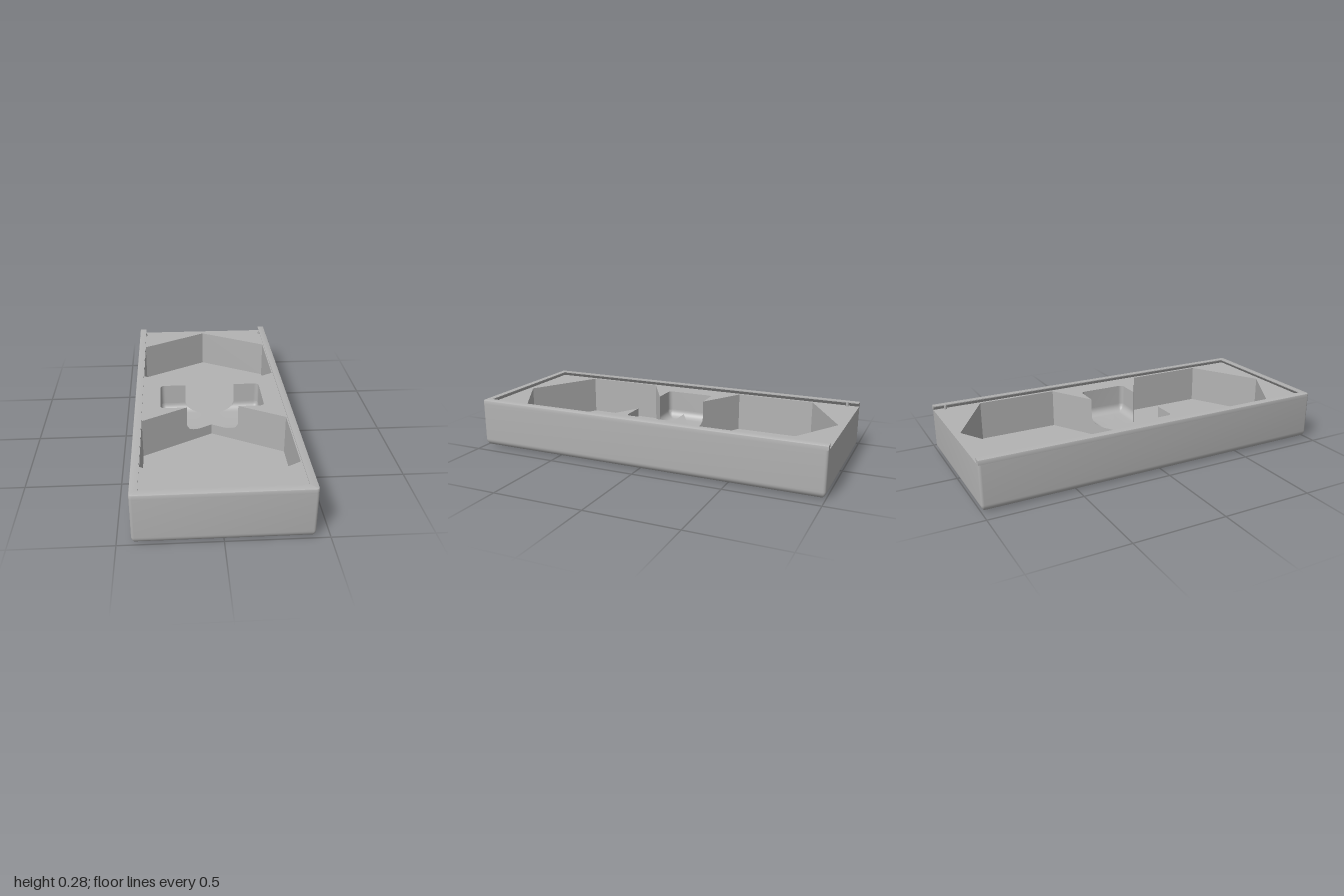
import * as THREE from 'three';
import { toCreasedNormals } from 'three/addons/utils/BufferGeometryUtils.js';

const HX = 0.43, HZ = 1, CORNER = 0.015;          // outer half sizes and vertical edge radius
const TOP = 0.275, DECK = 0.25, FLOOR = 0.03;     // heights of rim, deck and hexagon floors
const HEX_R = 0.45, HEX_Z = 0.507, SLOPE = Math.tan(Math.PI / 6);
const HEX_W = HEX_R * Math.cos(Math.PI / 6), APEX = HEX_Z - HEX_R;
const PX = 0.29, PZ = 0.14, PC = 0.025, PR = 0.045, PFLOOR = 0.09; // finger pocket
const CZ = -0.004;                                // cavities sit slightly to the back

// Surface through rows of points, sharp edges kept
function loft(rows, crease = 0.6) {
  const n = rows[0].length, index = [];
  for (let i = 0; i < rows.length - 1; i++) {
    for (let j = 0; j < n - 1; j++) {
      const a = i * n + j, b = a + 1, c = a + n + 1, d = a + n;
      index.push(a, b, c, a, c, d);
    }
  }
  const geo = new THREE.BufferGeometry();
  geo.setAttribute('position', new THREE.Float32BufferAttribute(rows.flat(2), 3));
  geo.setIndex(index);
  geo.scale(100, 100, 100);
  return toCreasedNormals(geo, crease).scale(0.01, 0.01, 0.01);
}

// Arc of a rounded corner, drawn inset from the outer wall
function cornerArc(sx, sz, start, inset) {
  const r = Math.max(CORNER - inset, 0), pts = [];
  for (let k = 0; k <= 4; k++) {
    const a = start + k * Math.PI / 8;
    pts.push([sx * (HX - inset - r) + r * Math.cos(a), sz * (HZ - inset - r) - r * Math.sin(a)]);
  }
  return pts;
}

// Half depth of the finger pocket at x, before and after the hexagons cut it
const hexEdge = x => APEX + SLOPE * x;
function pocketHalf(x) {
  const t = Math.max(0, x - (PX - PC));
  return PZ - PC + Math.sqrt(Math.max(0, PC * PC - t * t));
}

// Pocket floor height, filleted into its walls
function pocketHeight(x, z) {
  const qx = x - PX + PC, qz = Math.abs(z) - PZ + PC;
  const d = PC - Math.hypot(Math.max(qx, 0), Math.max(qz, 0)) - Math.min(Math.max(qx, qz), 0);
  const t = PR - Math.min(Math.max(d, 0), PR);
  return PFLOOR + PR - Math.sqrt(PR * PR - t * t);
}

export function createModel() {
  const model = new THREE.Group();
  const gray = new THREE.MeshStandardMaterial({ color: 0xb3b3b3, side: THREE.DoubleSide });
  gray.name = 'plain gray';
  function add(name, geo, parent = model) {
    const mesh = new THREE.Mesh(geo, gray);
    mesh.name = name;
    parent.add(mesh);
    return mesh;
  }

  // Outer body with a rounded bottom edge
  const R = 0.04, body = [];
  const ring = (inset, y) => {
    const p = [
      ...cornerArc(1, 1, -Math.PI / 2, inset), ...cornerArc(1, -1, 0, inset),
      ...cornerArc(-1, -1, Math.PI / 2, inset), ...cornerArc(-1, 1, Math.PI, inset)];
    return [...p, p[0]].map(([x, z]) => [x, y, z]);
  };
  for (let k = 0; k <= 8; k++) {
    const a = k * Math.PI / 16;
    body.push(ring(R * (1 - Math.sin(a)), R * (1 - Math.cos(a))));
  }
  body.push(ring(0, DECK));
  add('outerBody', loft(body));
  add('underside', new THREE.PlaneGeometry(2 * (HX - R), 2 * (HZ - R)).rotateX(Math.PI / 2));

  // Undercut rim on three sides, open at the back for a sliding lid
  const profile = [[0, DECK], [0, 0.27], [0.0015, 0.2735], [0.005, TOP], [0.04, TOP], [0.04, 0.27], [0.023, DECK]];
  add('lidRim', loft(profile.map(([inset, y]) => [
    [-HX + inset, -HZ], ...cornerArc(-1, 1, Math.PI, inset),
    ...cornerArc(1, 1, -Math.PI / 2, inset), [HX - inset, -HZ],
  ].map(([x, z]) => [x, y, z]))));
  for (const s of [1, -1]) {
    const cap = new THREE.Shape(profile.map(([i, y]) => new THREE.Vector2(s * (HX - i), y)));
    add('rimEnd', new THREE.ShapeGeometry(cap).rotateY(Math.PI).scale(-1, 1, 1)).position.z = -HZ;
    const bump = add('lidCatch', new THREE.CylinderGeometry(0.008, 0.008, 0.023, 16));
    bump.position.set(s * 0.392, DECK + 0.0115, -0.935);
  }

  // Stations across the finger pocket
  const xWall = (PZ - APEX) / SLOPE, inner = [], outer = [xWall];
  for (let k = 0; k <= 12; k++) inner.push(xWall * k / 12);
  for (let k = 0; k <= 12; k++) outer.push(PX - PR * (1 - Math.sin(k * Math.PI / 24)));
  const rim = outer.map(x => [x, pocketHalf(x)]);

  // Deck with one opening shared by both hexagons and the pocket
  const deck = new THREE.Shape();
  deck.moveTo(-0.415, -0.985).lineTo(0.415, -0.985).lineTo(0.415, HZ).lineTo(-0.415, HZ);
  const farZ = HEX_Z + HEX_R / 2, nearZ = HEX_Z - HEX_R / 2, tipZ = HEX_Z + HEX_R;
  const quarter = [[0, tipZ], [HEX_W, farZ], [HEX_W, nearZ], ...rim];
  const half = [...quarter, ...quarter.map(([x, z]) => [x, -z]).reverse()];
  const outline = [...half, ...half.slice(1, -1).map(([x, z]) => [-x, z]).reverse()];
  deck.holes.push(new THREE.Path(outline.map(([x, z]) => new THREE.Vector2(x, -(z + CZ)))));
  add('deck', new THREE.ShapeGeometry(deck).rotateX(-Math.PI / 2)).position.y = DECK;

  const cavities = new THREE.Group();
  cavities.name = 'cavities';
  cavities.position.z = CZ;
  model.add(cavities);

  // Hexagon walls, one quarter mirrored four ways; the low part borders the pocket
  const path = [
    ...inner.map(x => [x, pocketHeight(x, hexEdge(x)), hexEdge(x)]),
    [xWall, DECK, PZ], [HEX_W, DECK, nearZ], [HEX_W, DECK, farZ], [0, DECK, tipZ]];
  const hexWall = loft([path.map(([x, , z]) => [x, FLOOR, z]), path]);

  // Pocket floor and walls, one half
  const zs = [];
  for (let k = 0; k <= 10; k++) zs.push(PZ - PR * (1 - Math.cos(k * Math.PI / 20)));
  const targets = [...zs.map(z => -z), 0, ...zs.slice().reverse()];
  const floorRows = [...inner, ...outer.slice(1)].map(x => {
    const lim = Math.min(hexEdge(x), pocketHalf(x));
    return targets.map(t => {
      const z = Math.max(-lim, Math.min(lim, t));
      return [x, pocketHeight(x, z), z];
    });
  });
  const pocketFloor = loft(floorRows);
  const around = [...rim, ...rim.map(([x, z]) => [x, -z]).reverse()];
  const pocketWall = loft([DECK, PFLOOR + PR].map(y => around.map(([x, z]) => [x, y, z])));

  for (const sx of [1, -1]) {
    add('pocketFloor', pocketFloor, cavities).scale.x = sx;
    add('pocketWall', pocketWall, cavities).scale.x = sx;
    for (const sz of [1, -1]) add('hexagonWall', hexWall, cavities).scale.set(sx, 1, sz);
  }
  for (const sz of [1, -1]) {
    const floor = new THREE.CircleGeometry(HEX_R, 6, Math.PI / 2).rotateX(-Math.PI / 2);
    add('hexagonFloor', floor, cavities).position.set(0, FLOOR, sz * HEX_Z);
  }
  return model;
}
